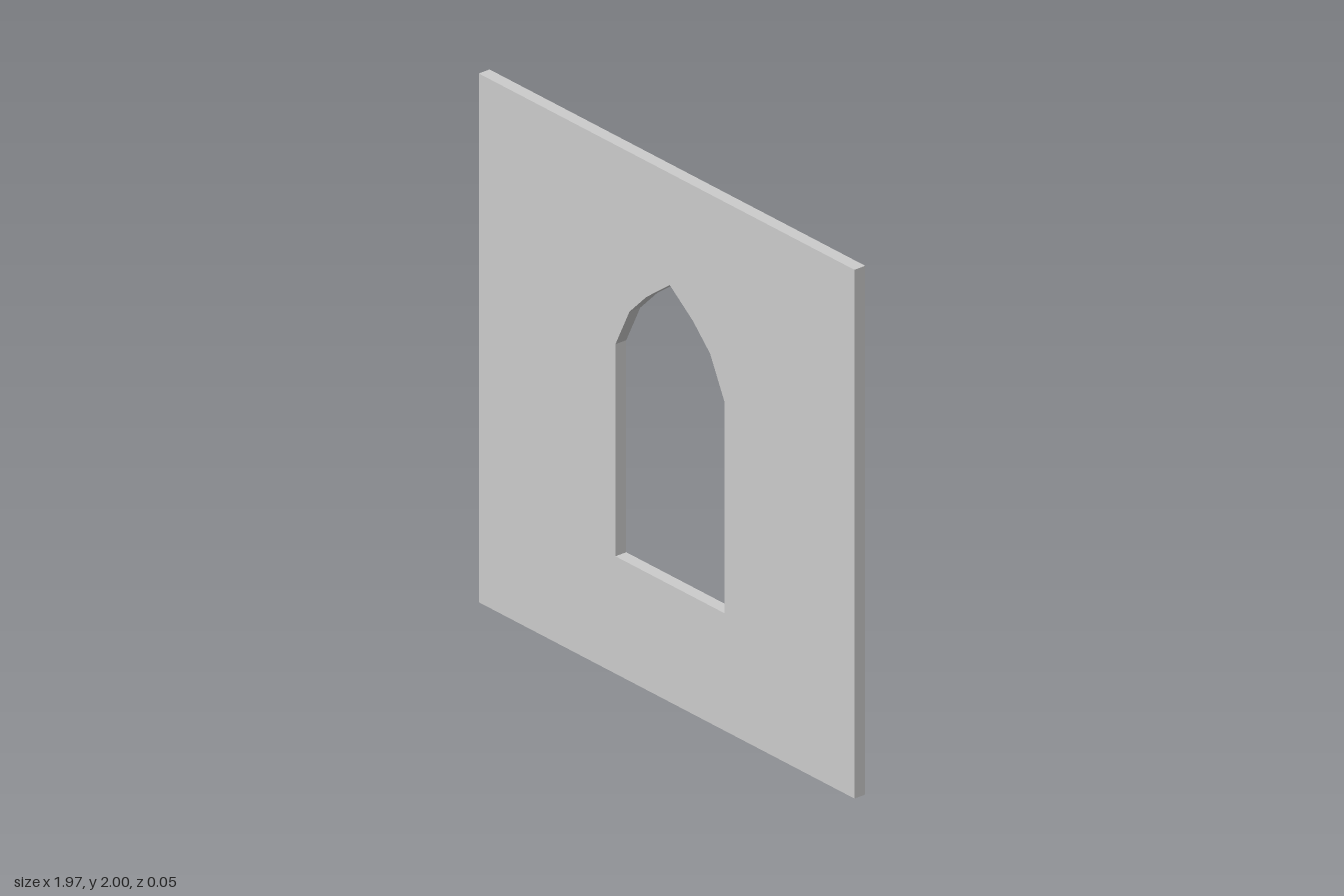
import * as THREE from 'three';

const HALF_WIDTH = 0.987, HEIGHT = 2, THICKNESS = 0.048;

// Window opening: its axis, sill height and right half of the pointed arch
const AXIS = 0.017, SILL = 0.444, APEX = 1.577;
const ARCH = [[0.286, 1.246], [0.212, 1.397], [0.122, 1.487]];

function windowOpening() {
  const half = [[0.286, SILL], ...ARCH];
  const right = half.map(([x, y]) => new THREE.Vector2(AXIS + x, y));
  const left = half.map(([x, y]) => new THREE.Vector2(AXIS - x, y)).reverse();
  return new THREE.Path([...right, new THREE.Vector2(AXIS, APEX), ...left]);
}

export function createModel() {
  const group = new THREE.Group();
  group.name = 'windowWall';

  // Flat wall panel
  const outline = new THREE.Shape([
    new THREE.Vector2(-HALF_WIDTH, 0),
    new THREE.Vector2(HALF_WIDTH, 0),
    new THREE.Vector2(HALF_WIDTH, HEIGHT),
    new THREE.Vector2(-HALF_WIDTH, HEIGHT),
  ]);
  outline.holes.push(windowOpening());

  const geometry = new THREE.ExtrudeGeometry(outline, { depth: THICKNESS, bevelEnabled: false });
  geometry.translate(0, 0, -THICKNESS / 2);

  const wall = new THREE.Mesh(
    geometry,
    new THREE.MeshStandardMaterial({ color: 0xcccccc, flatShading: true })
  );
  wall.name = 'wall';
  group.add(wall);
  return group;
}
